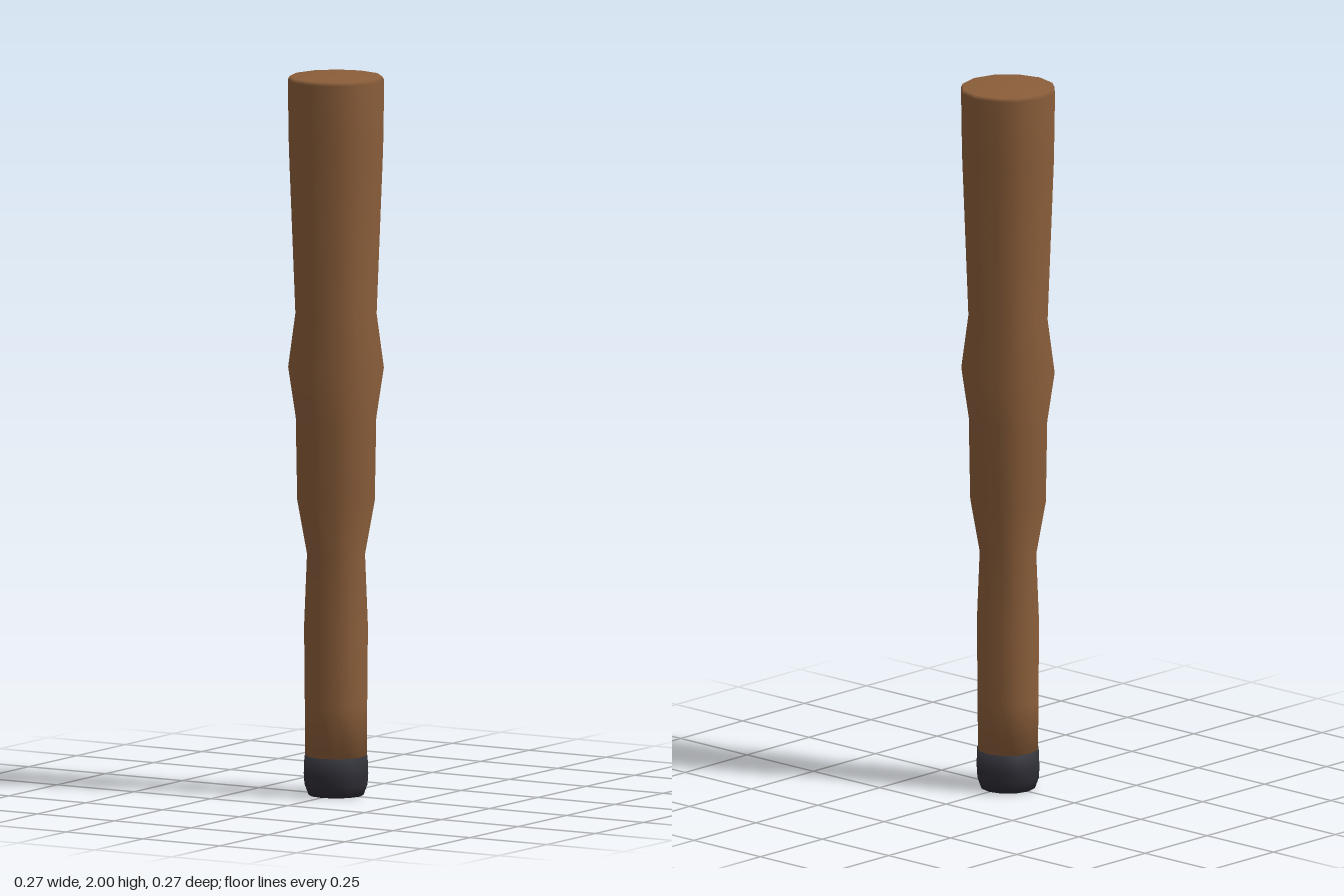
import * as THREE from 'three';

const SIDES = 12;

// Turned part from [radius, height] pairs, listed bottom to top
function turned(name, profile, material) {
  const points = profile.map(([r, y]) => new THREE.Vector2(r, y));
  const mesh = new THREE.Mesh(new THREE.LatheGeometry(points, SIDES), material);
  mesh.name = name;
  return mesh;
}

export function createModel() {
  const wood = new THREE.MeshStandardMaterial({ color: 0x8b5e3a });
  wood.name = 'brown wood';
  const rubber = new THREE.MeshStandardMaterial({ color: 0x2e2e36 });
  rubber.name = 'dark rubber';

  const group = new THREE.Group();
  group.name = 'turnedLeg';

  // Wooden shaft with a swelling at mid height and a narrow neck below it
  group.add(turned('shaft', [
    [0, 0.1], [0.085, 0.1], [0.086, 0.25], [0.088, 0.47], [0.08, 0.67],
    [0.107, 0.82], [0.111, 1.05], [0.132, 1.19], [0.112, 1.34],
    [0.13, 1.8], [0.133, 1.99], [0.128, 2], [0, 2],
  ], wood));

  // Rounded foot cap
  group.add(turned('footCap', [
    [0, 0], [0.076, 0], [0.087, 0.03], [0.089, 0.06], [0.087, 0.11], [0, 0.11],
  ], rubber));

  return group;
}
